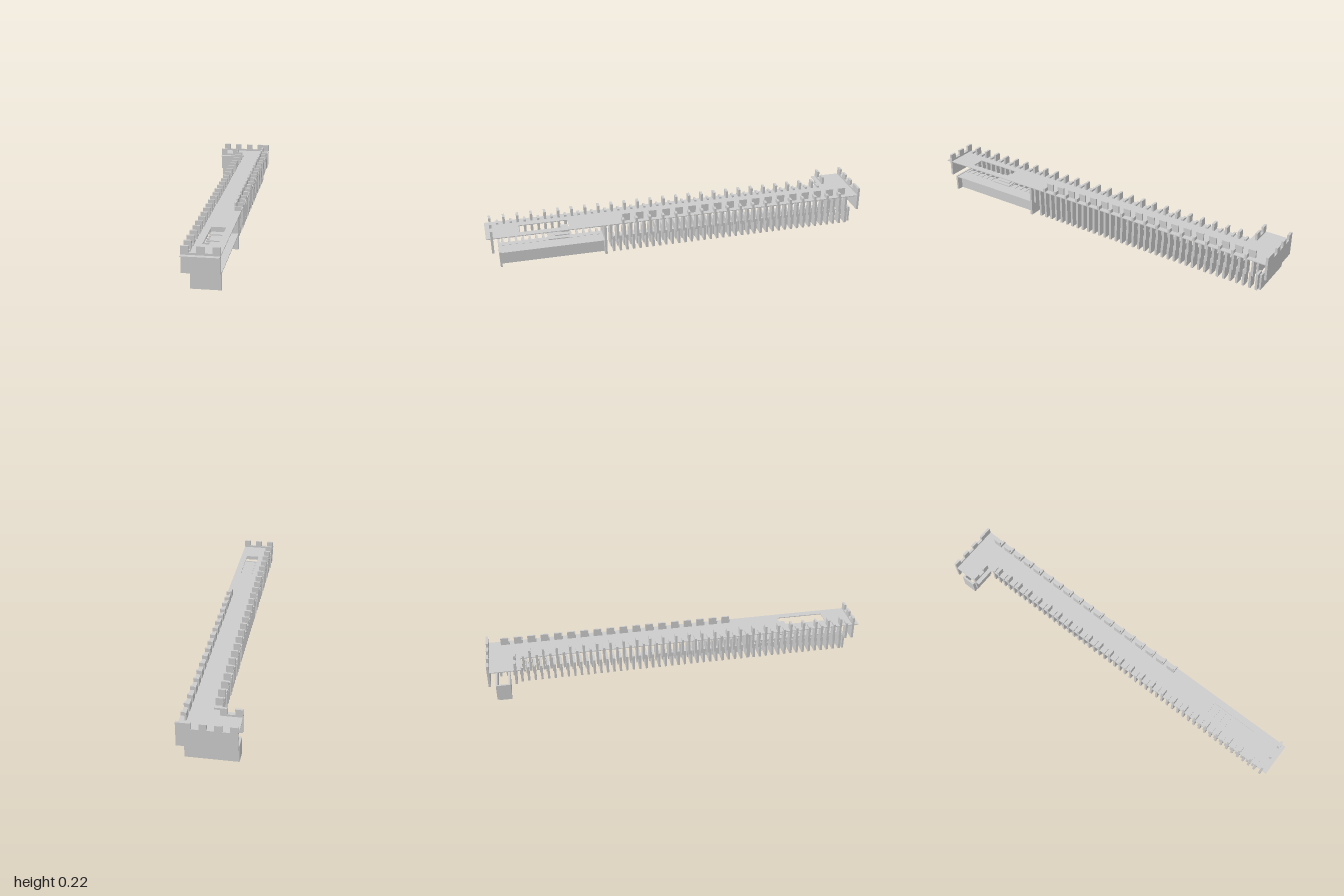
import * as THREE from 'three';

const material = new THREE.MeshStandardMaterial({ color: 0xcccccc, flatShading: true });

export function createModel() {
  const model = new THREE.Group();

  function group(name) {
    const g = new THREE.Group();
    g.name = name;
    model.add(g);
    return g;
  }

  // Box given by its limits on each axis
  function box(parent, name, [x0, x1], [y0, y1], [z0, z1]) {
    const mesh = new THREE.Mesh(new THREE.BoxGeometry(x1 - x0, y1 - y0, z1 - z0), material);
    mesh.position.set((x0 + x1) / 2, (y0 + y1) / 2, (z0 + z1) / 2);
    mesh.name = name;
    parent.add(mesh);
    return mesh;
  }

  // Upper wall facing z, with merlons standing on it
  function crenellatedWall(name, x, z, merlons) {
    const g = group(name);
    box(g, 'parapet', x, [0.09, 0.185], z);
    for (const m of merlons) box(g, 'merlon', m, [0.185, 0.215], z);
  }

  // Walkway deck: L-shaped slab with a stair opening (drawn in x, -z)
  const outline = new THREE.Shape();
  [[-0.035, -1], [0.14, -1], [0.14, 1], [-0.14, 1], [-0.14, 0.83], [-0.035, 0.83]]
    .forEach(([x, y], i) => (i ? outline.lineTo(x, y) : outline.moveTo(x, y)));
  const opening = new THREE.Path();
  [[0.035, -0.83], [0.035, -0.58], [0.105, -0.58], [0.105, -0.83]]
    .forEach(([x, y], i) => (i ? opening.lineTo(x, y) : opening.moveTo(x, y)));
  outline.holes.push(opening);
  const deckGeometry = new THREE.ExtrudeGeometry(outline, { depth: 0.004, bevelEnabled: false });
  deckGeometry.rotateX(-Math.PI / 2);
  const deck = new THREE.Mesh(deckGeometry, material);
  deck.position.y = 0.171;
  deck.name = 'walkwayDeck';
  model.add(deck);

  // End walls and the front wall of the rear wing
  crenellatedWall('frontWall', [-0.035, 0.14], [0.965, 0.977],
    [[-0.035, 0], [0.035, 0.07], [0.105, 0.14]]);
  crenellatedWall('backWall', [-0.14, 0.14], [-1, -0.988],
    [[-0.14, -0.105], [-0.07, -0.035], [0, 0.035], [0.07, 0.14]]);
  crenellatedWall('wingWall', [-0.14, -0.035], [-0.864, -0.852],
    [[-0.14, -0.105], [-0.07, -0.035]]);

  // Lower end walls
  box(model, 'lowerFrontWall', [0, 0.14], [0.005, 0.09], [0.932, 0.942]);
  box(model, 'lowerBackWall', [-0.14, 0.11], [0.005, 0.09], [-0.965, -0.955]);
  box(model, 'lowerWingSide', [-0.14, -0.13], [0, 0.09], [-0.955, -0.89]);
  box(model, 'lowerWingFront', [-0.14, 0], [0.005, 0.09], [-0.9, -0.89]);

  // Open front bay: side wall, ledge and end bulkhead
  box(model, 'baySideWall', [0.1, 0.107], [0.005, 0.085], [0.405, 0.935]);
  box(model, 'bayLedge', [0.035, 0.14], [0.083, 0.087], [0.405, 0.94]);
  box(model, 'bayBulkhead', [0.0, 0.14], [0.005, 0.171], [0.393, 0.405]);

  // Stair slabs under the opening
  const stairs = group('stairs');
  for (let i = 0; i < 3; i++) {
    const y = 0.108 + i * 0.019;
    box(stairs, 'stairSlab', [0.035, 0.105], [y, y + 0.005], [0.58, 0.69 - i * 0.035]);
  }

  // Fins along the -x side, every second one a tall merlon
  const rightFins = group('rightSideFins');
  for (let i = 0; i < 51; i++) {
    const z = 0.935 - i * 0.035;
    const depth = [z - 0.006, z + 0.006];
    box(rightFins, 'upperFin', [-0.035, 0], [0.09, i % 2 ? 0.215 : 0.185], depth);
    box(rightFins, 'lowerFin', [0, 0.07], [0.003, 0.09], [z - 0.023, z - 0.011]);
  }

  // Fins along the +x side, behind the open bay
  const leftFins = group('leftSideFins');
  for (let i = 0; i < 38; i++) {
    const z = 0.37 - i * 0.035;
    box(leftFins, 'upperFin', [0.105, 0.14], [0.088, 0.171], [z - 0.006, z + 0.006]);
    box(leftFins, 'lowerFin', [0.07, 0.115], [0, 0.09], [z - 0.023, z - 0.011]);
  }

  // Angled merlons along the +x side
  const merlons = group('leftSideMerlons');
  for (let i = 0; i < 18; i++) {
    const z = 0.305 - i * 0.07;
    box(merlons, 'merlonPlate', [0.105, 0.114], [0.175, 0.215], [z - 0.04, z]);
    box(merlons, 'merlonFin', [0.105, 0.14], [0.175, 0.195], [z - 0.006, z + 0.006]);
  }

  return model;
}
